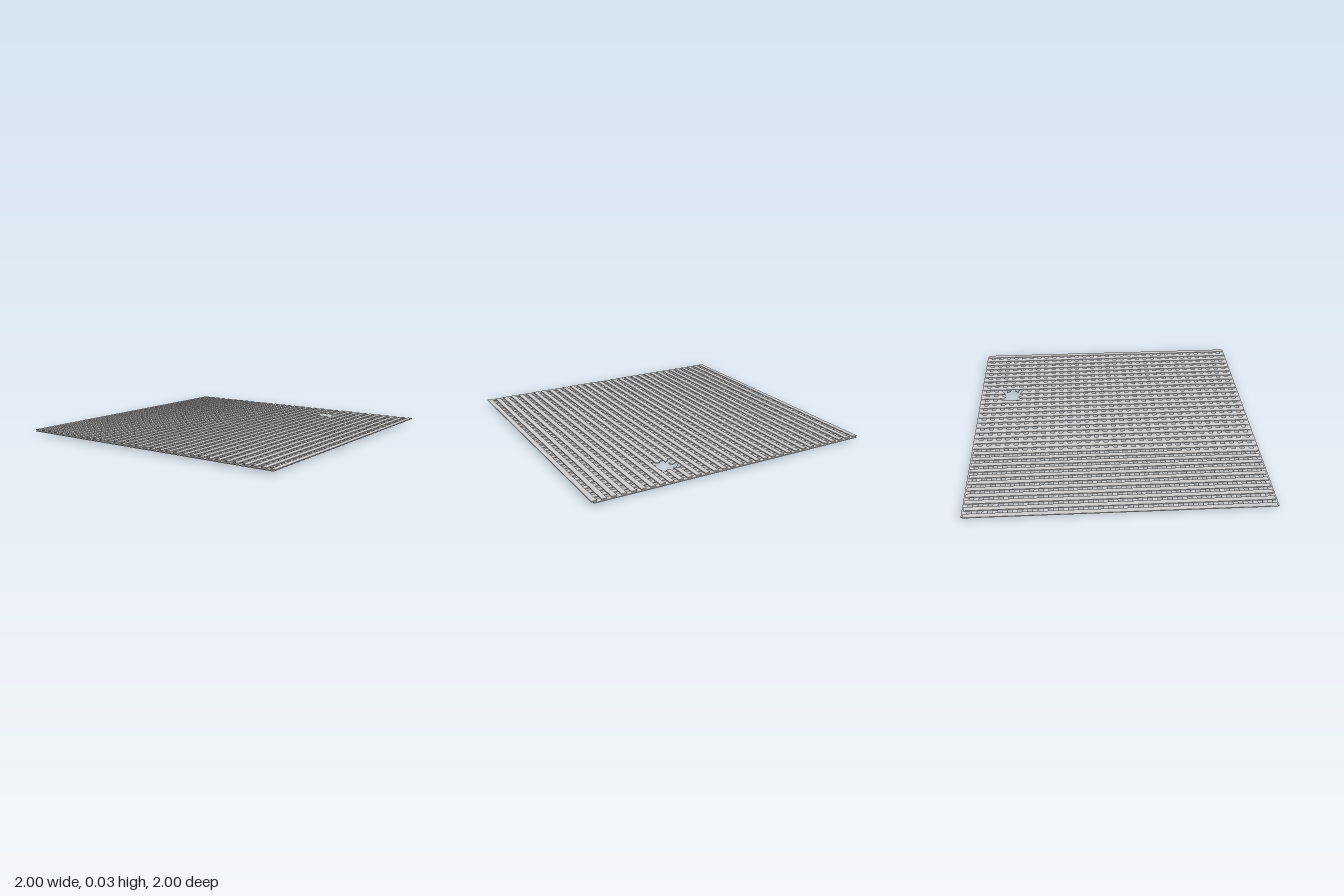
import * as THREE from 'three';

const COUNT = 32, WIDTH = 0.0345, THICK = 0.006, LENGTH = 1.98;
const PITCH = (2 - WIDTH) / (COUNT - 1);
const LOWER_Y = 0.0225, UPPER_Y = LOWER_Y + THICK;
const at = (i) => -1 + WIDTH / 2 + i * PITCH;

export function createModel() {
  const group = new THREE.Group();
  const material = new THREE.MeshStandardMaterial({ color: 0xcccccc, flatShading: true });

  // flat strip between two positions, along x (lower layer) or z (upper layer)
  function strip(name, alongX, offset, from, to) {
    const len = to - from, mid = (from + to) / 2;
    const mesh = new THREE.Mesh(
      new THREE.BoxGeometry(alongX ? len : WIDTH, THICK, alongX ? WIDTH : len), material);
    mesh.position.set(alongX ? mid : offset, alongX ? LOWER_Y : UPPER_Y, alongX ? offset : mid);
    mesh.name = name;
    group.add(mesh);
  }

  // torn strip end: narrows to a slanted tip and bends downward
  function tornEnd(alongX, offset, start, sign, len, drop, slant) {
    const geo = new THREE.BoxGeometry(len, THICK, WIDTH, 2, 1, 1).translate(len / 2, 0, 0);
    const p = geo.attributes.position;
    for (let i = 0; i < p.count; i++) {
      const t = p.getX(i) / len, side = p.getZ(i) / WIDTH;
      p.setX(i, p.getX(i) + t * side * slant);
      p.setY(i, p.getY(i) - drop * t);
      p.setZ(i, p.getZ(i) * (1 - 0.2 * t));
    }
    geo.computeVertexNormals();
    const mesh = new THREE.Mesh(geo, material);
    mesh.rotation.y = alongX ? (sign > 0 ? 0 : Math.PI) : -sign * Math.PI / 2;
    mesh.position.set(alongX ? start : offset, alongX ? LOWER_Y : UPPER_Y, alongX ? offset : start);
    mesh.name = 'tornEnd';
    group.add(mesh);
  }

  // broken strips: [start of gap, end of gap, torn ends as length, drop, slant]
  const brokenX = {
    3: [0.304, 0.46, [0.026, 0.0195, -0.014], [0.016, 0.005, 0.012]],
    4: [0.304, 0.46, [0.03, 0.013, 0.016], [0.018, 0.004, -0.012]],
  };
  const brokenZ = {
    21: [-0.841, -0.686, [0.022, 0.006, -0.016], [0.02, 0.006, 0.016]],
    22: [-0.841, -0.686, [0.022, 0.008, 0.014], [0.014, 0.005, -0.012]],
  };

  // two crossing layers of strips with a ragged hole punched through
  for (const alongX of [true, false]) {
    const broken = alongX ? brokenX : brokenZ;
    const name = alongX ? 'crossStrip' : 'lengthStrip';
    for (let i = 0; i < COUNT; i++) {
      const gap = broken[i];
      if (!gap) {
        strip(name, alongX, at(i), -LENGTH / 2, LENGTH / 2);
        continue;
      }
      strip(name, alongX, at(i), -LENGTH / 2, gap[0]);
      strip(name, alongX, at(i), gap[1], LENGTH / 2);
      tornEnd(alongX, at(i), gap[0], 1, ...gap[2]);
      tornEnd(alongX, at(i), gap[1], -1, ...gap[3]);
    }
  }
  return group;
}
